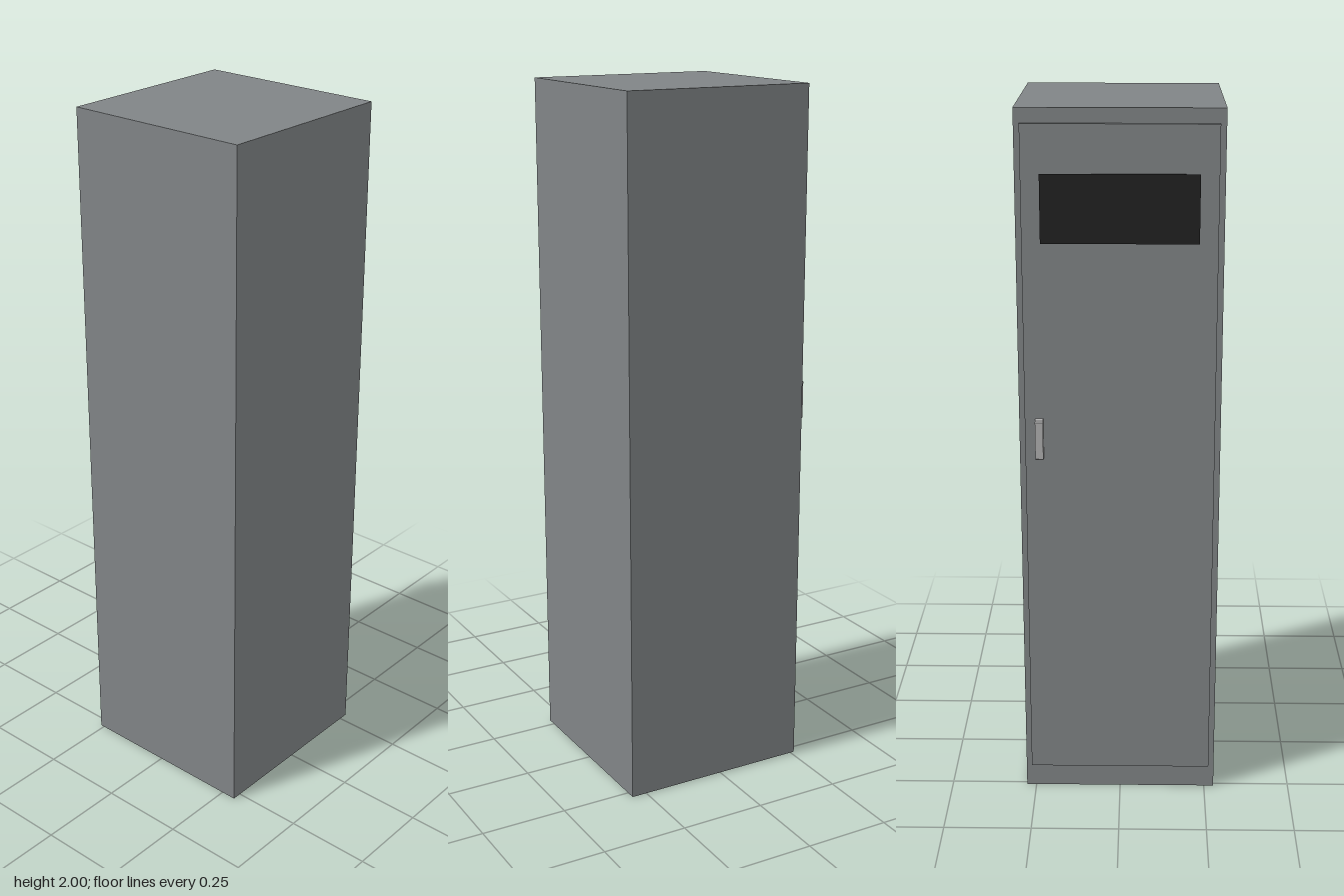
import * as THREE from 'three';

const steel = new THREE.MeshStandardMaterial({ color: 0x808486, side: THREE.DoubleSide });
const black = new THREE.MeshStandardMaterial({ color: 0x222222 });
const metal = new THREE.MeshStandardMaterial({ color: 0xb0b0b0 });

export function createModel() {
  const model = new THREE.Group();
  const add = (name, geometry, material) => {
    const mesh = new THREE.Mesh(geometry, material);
    mesh.name = name;
    model.add(mesh);
  };
  // Box given by its limits on each axis
  const box = (x0, x1, y0, y1, z0, z1) =>
    new THREE.BoxGeometry(x1 - x0, y1 - y0, z1 - z0)
      .translate((x0 + x1) / 2, (y0 + y1) / 2, (z0 + z1) / 2);

  // Sheet-metal cabinet, open underneath: drop the bottom face (4th of six)
  const cabinet = box(-0.278, 0.278, 0, 2, -0.262, 0.295);
  const index = Array.from(cabinet.index.array);
  index.splice(18, 6);
  cabinet.setIndex(index);
  cabinet.clearGroups();
  add('cabinet', cabinet, steel);

  // Door with a dark vent panel on its upper part
  add('door', box(-0.262, 0.262, 0.07, 1.96, -0.272, -0.262), steel);
  add('ventPanel', box(-0.212, 0.212, 1.645, 1.83, -0.276, -0.271), black);

  // Handle: side profile with small chamfers at the outer ends, extruded across
  const c = 0.004, y0 = 1.042, y1 = 1.156, inner = 0.27, outer = 0.296;
  const profile = new THREE.Shape([
    [inner, y0], [outer - c, y0], [outer, y0 + c],
    [outer, y1 - c], [outer - c, y1], [inner, y1],
  ].map(([x, y]) => new THREE.Vector2(x, y)));
  const handle = new THREE.ExtrudeGeometry(profile, { depth: 0.022, bevelEnabled: false })
    .rotateY(Math.PI / 2).translate(0.211, 0, 0);
  add('handle', handle, metal);

  return model;
}
